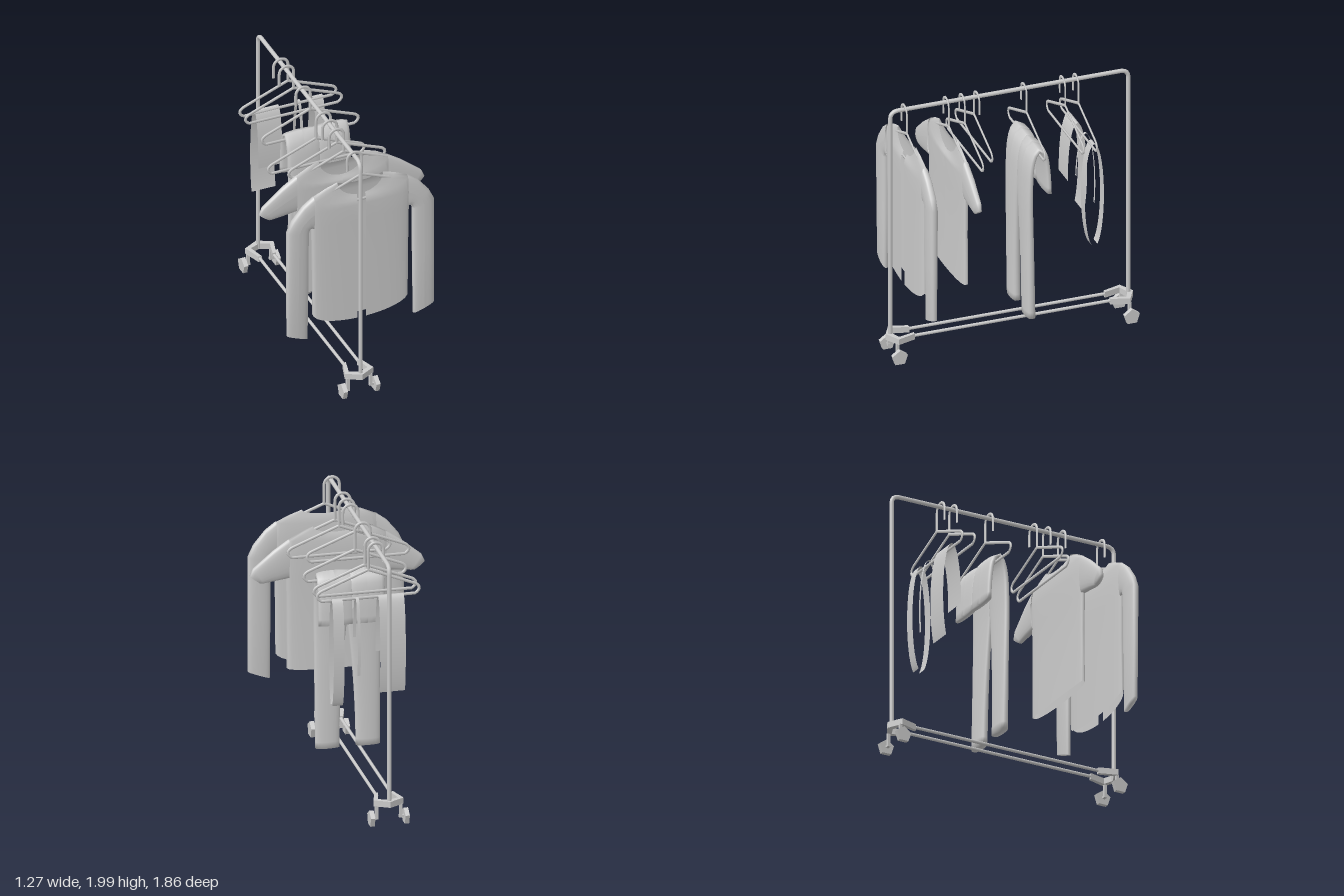
import * as THREE from 'three';

const material = new THREE.MeshStandardMaterial({ color: 0xcccccc, side: THREE.DoubleSide });
const flat = new THREE.MeshStandardMaterial({ color: 0xcccccc, flatShading: true });
const V = (x, y, z = 0) => new THREE.Vector3(x, y, z);
const RAIL_X = -0.04;

function add(parent, name, geometry, mat = material, x = 0, y = 0, z = 0) {
  const mesh = new THREE.Mesh(geometry, mat);
  mesh.name = name;
  mesh.position.set(x, y, z);
  parent.add(mesh);
  return mesh;
}

function group(parent, name, x = 0, y = 0, z = 0) {
  const g = new THREE.Group();
  g.name = name;
  g.position.set(x, y, z);
  parent.add(g);
  return g;
}

// Path of straight lines; an entry with a ctrl point is a rounded corner.
function path(start, ...steps) {
  const curve = new THREE.CurvePath();
  let from = start;
  for (const s of steps) {
    curve.add(s.ctrl ? new THREE.QuadraticBezierCurve3(from, s.ctrl, s.to) : new THREE.LineCurve3(from, s));
    from = s.ctrl ? s.to : s;
  }
  return curve;
}

// Cloth skin over flattened oval rings. Each ring: centre c, half width h, half
// thickness n, sag of the front and back edge, and half width of a front opening.
function loft(rings, n = 28) {
  const pos = [], index = [];
  rings.forEach(({ c, h, n: nv, front = 0, back = 0, gap = 0 }, r) => {
    const g = gap ? Math.asin(Math.min(1, gap / h.length())) : 0;
    for (let i = 0; i <= n; i++) {
      const t = Math.PI / 2 + g + (2 * Math.PI - 2 * g) * i / n;
      const s = Math.sin(t);
      const p = c.clone().addScaledVector(h, Math.cos(t))
        .addScaledVector(nv, Math.sign(s) * Math.pow(Math.abs(s), 0.6));
      p.y -= Math.abs(s) * (s > 0 ? front : back);
      pos.push(p.x, p.y, p.z);
      if (r && i < n) {
        const a = (r - 1) * (n + 1) + i, b = a + n + 1;
        index.push(a, b, a + 1, a + 1, b, b + 1);
      }
    }
  });
  const geometry = new THREE.BufferGeometry();
  geometry.setAttribute('position', new THREE.Float32BufferAttribute(pos, 3));
  geometry.setIndex(index);
  geometry.computeVertexNormals();
  return geometry;
}

const closeRing = (r) => ({ c: r.c, h: V(0, 0), n: V(0, 0) });

// Torso rows: y, half width, half depth, front sag, back sag.
function torso(rows, gap = 0) {
  return loft(rows.map(([y, w, d, front, back]) =>
    ({ c: V(0, y), h: V(w, 0), n: V(0, 0, d), front, back, gap })));
}

// Sleeve rows: outer x, y, inner x, y, half depth.
function sleeve(rows, side) {
  const rings = rows.map(([ox, oy, ix, iy, d]) => ({
    c: V(side * (ox + ix) / 2, (oy + iy) / 2),
    h: V(side * (ox - ix) / 2, (oy - iy) / 2),
    n: V(0, 0, d),
  }));
  return loft([...rings, closeRing(rings.at(-1))], 20);
}

function hanger(parent, z, flip = 1) {
  const g = group(parent, 'hanger', RAIL_X + flip * 0.055, 0, z);
  g.scale.x = flip;
  const body = path(V(0, 1.79), V(0.34, 1.655), { ctrl: V(0.4, 1.62), to: V(0.34, 1.58) },
    V(-0.34, 1.58), { ctrl: V(-0.4, 1.62), to: V(-0.34, 1.655) }, V(0, 1.79));
  add(g, 'hangerBody', new THREE.TubeGeometry(body, 100, 0.012, 6).scale(1, 1, 0.55));
  const hookPoints = [V(0, 1.78), V(0, 1.86)];
  for (let i = 0; i <= 8; i++) {
    const a = Math.PI * i / 8;
    hookPoints.push(V(-0.055 + 0.055 * Math.cos(a), 1.932 + 0.055 * Math.sin(a)));
  }
  hookPoints.push(V(-0.11, 1.84));
  const hook = new THREE.CatmullRomCurve3(hookPoints);
  add(g, 'hangerHook', new THREE.TubeGeometry(hook, 40, 0.012, 6).scale(1, 1, 0.55));
}

// Chevron foot with two casters, at the +z end
function foot(parent, turn) {
  const g = group(parent, 'foot');
  g.rotation.y = turn;
  const half = [[0.11, 0.87], [0.068, 0.735], [0.042, 0.735], [0.072, 0.855]];
  const outline = [[0, 0.93], ...half, [0, 0.885], ...half.map(([x, z]) => [-x, z]).reverse()];
  const shape = new THREE.Shape(outline.map(([x, z]) => new THREE.Vector2(x, z)));
  add(g, 'footPlate', new THREE.ExtrudeGeometry(shape, { depth: 0.045, bevelEnabled: false })
    .rotateX(Math.PI / 2), flat, 0, 0.19);
  for (const s of [-1, 1]) {
    add(g, 'casterStem', new THREE.BoxGeometry(0.022, 0.1, 0.022), flat, s * 0.088, 0.1, 0.872);
    add(g, 'casterAxle', new THREE.BoxGeometry(0.05, 0.018, 0.022), flat, s * 0.1, 0.055, 0.872);
    add(g, 'casterWheel', new THREE.CylinderGeometry(0.06, 0.06, 0.032, 5, 1, false, Math.PI / 2)
      .rotateZ(Math.PI / 2), flat, s * 0.125, 0.055, 0.872);
  }
}

function rack(parent) {
  const g = group(parent, 'rack', RAIL_X);
  const top = 1.956, end = 0.895, r = 0.06;
  const frame = path(V(0, 0.15, end), V(0, top - r, end),
    { ctrl: V(0, top, end), to: V(0, top, end - r) }, V(0, top, r - end),
    { ctrl: V(0, top, -end), to: V(0, top - r, -end) }, V(0, 0.15, -end));
  add(g, 'hangingRail', new THREE.TubeGeometry(frame, 260, 0.016, 8));
  for (const x of [-0.055, 0.055])
    add(g, 'lowerRail', new THREE.CylinderGeometry(0.012, 0.012, 1.49, 8).rotateX(Math.PI / 2), material, x, 0.17);
  foot(g, 0);
  foot(g, Math.PI);
}

function garment(parent, name, x, z, torsoRows, sleeveRows, gap) {
  const g = group(parent, name, x, 0, z);
  add(g, name + 'Body', torso(torsoRows, gap));
  for (const s of [-1, 1]) add(g, name + 'Sleeve', sleeve(sleeveRows, s));
}

// Trousers folded over a hanger: legs hang long in front, waist short behind
function trousers(parent) {
  const g = group(parent, 'trousers');
  const fold = new THREE.CatmullRomCurve3([[0.29, -0.053], [0.8, -0.045], [1.3, -0.04], [1.5, -0.052],
    [1.59, -0.078], [1.622, -0.11], [1.58, -0.147], [1.45, -0.172], [1.265, -0.183]].map(([y, z]) => V(0, y, z)));
  for (const s of [-1, 1]) {
    const rings = [];
    for (let i = 0; i <= 36; i++) {
      const u = i / 36, p = fold.getPointAt(u), t = fold.getTangentAt(u);
      const k = Math.min(1, u / 0.62);
      const inner = THREE.MathUtils.lerp(0.058, -0.018, k * k), outer = 0.235 + 0.008 * k;
      rings.push({
        c: V(0.055 + s * (inner + outer) / 2, p.y, p.z),
        h: V((outer - inner) / 2, 0),
        n: V(0, -t.z, t.y).multiplyScalar(THREE.MathUtils.lerp(0.035, 0.024, u)),
      });
    }
    add(g, 'trouserLeg', loft([closeRing(rings[0]), ...rings, closeRing(rings.at(-1))], 20));
  }
}

// Thin strips draped over a hanger bar: x, width, front drop angle, back drop angle
function scarves(parent) {
  const strips = [[-0.143, 0.185, 0.1, 0.85], [0.102, 0.022, -0.2, 0.4], [0.247, 0.078, 1.25, 1.25]];
  for (const [x, width, front, back] of strips)
    add(parent, 'scarf', new THREE.CylinderGeometry(1, 1, width, 32, 1, true, -front, Math.PI + front + back)
      .rotateZ(Math.PI / 2).scale(1, 0.41, 0.072), material, x, 1.185, -0.517);
}

export function createModel() {
  const model = new THREE.Group();
  model.name = 'clothesRack';
  rack(model);
  for (const z of [0.79, 0.475, 0.355, -0.11, -0.4, -0.5]) hanger(model, z);
  hanger(model, 0.245, -1);

  // Long-sleeved jacket, open down the front
  garment(model, 'jacket', 0.005, 0.786, [
    [1.765, 0.175, 0.014, 0.13, 0.04], [1.735, 0.26, 0.022, 0.12, 0.03], [1.685, 0.37, 0.03, 0.09, 0.02],
    [1.56, 0.385, 0.036, 0, 0], [1.43, 0.375, 0.034, 0, 0], [1.1, 0.37, 0.031, 0, 0],
    [0.7, 0.366, 0.03, 0.1, 0.09],
  ], [
    [0.36, 1.69, 0.36, 1.42, 0.032], [0.44, 1.63, 0.37, 1.43, 0.034], [0.525, 1.525, 0.385, 1.435, 0.035],
    [0.565, 1.44, 0.397, 1.4, 0.035], [0.567, 1.0, 0.4, 0.98, 0.031], [0.565, 0.57, 0.405, 0.51, 0.024],
  ], 0.032);

  // Short-sleeved shirt
  garment(model, 'shirt', 0, 0.472, [
    [1.755, 0.175, 0.012, 0.15, 0.05], [1.725, 0.26, 0.02, 0.14, 0.04], [1.67, 0.36, 0.028, 0.1, 0.02],
    [1.55, 0.38, 0.033, 0, 0], [1.38, 0.37, 0.028, 0, 0], [1.1, 0.365, 0.026, 0, 0],
    [0.7, 0.365, 0.033, 0.02, 0.02],
  ], [
    [0.35, 1.675, 0.35, 1.38, 0.03], [0.46, 1.6, 0.44, 1.37, 0.032],
    [0.61, 1.475, 0.53, 1.36, 0.026], [0.634, 1.42, 0.555, 1.36, 0.02],
  ]);

  trousers(model);
  scarves(model);
  return model;
}
